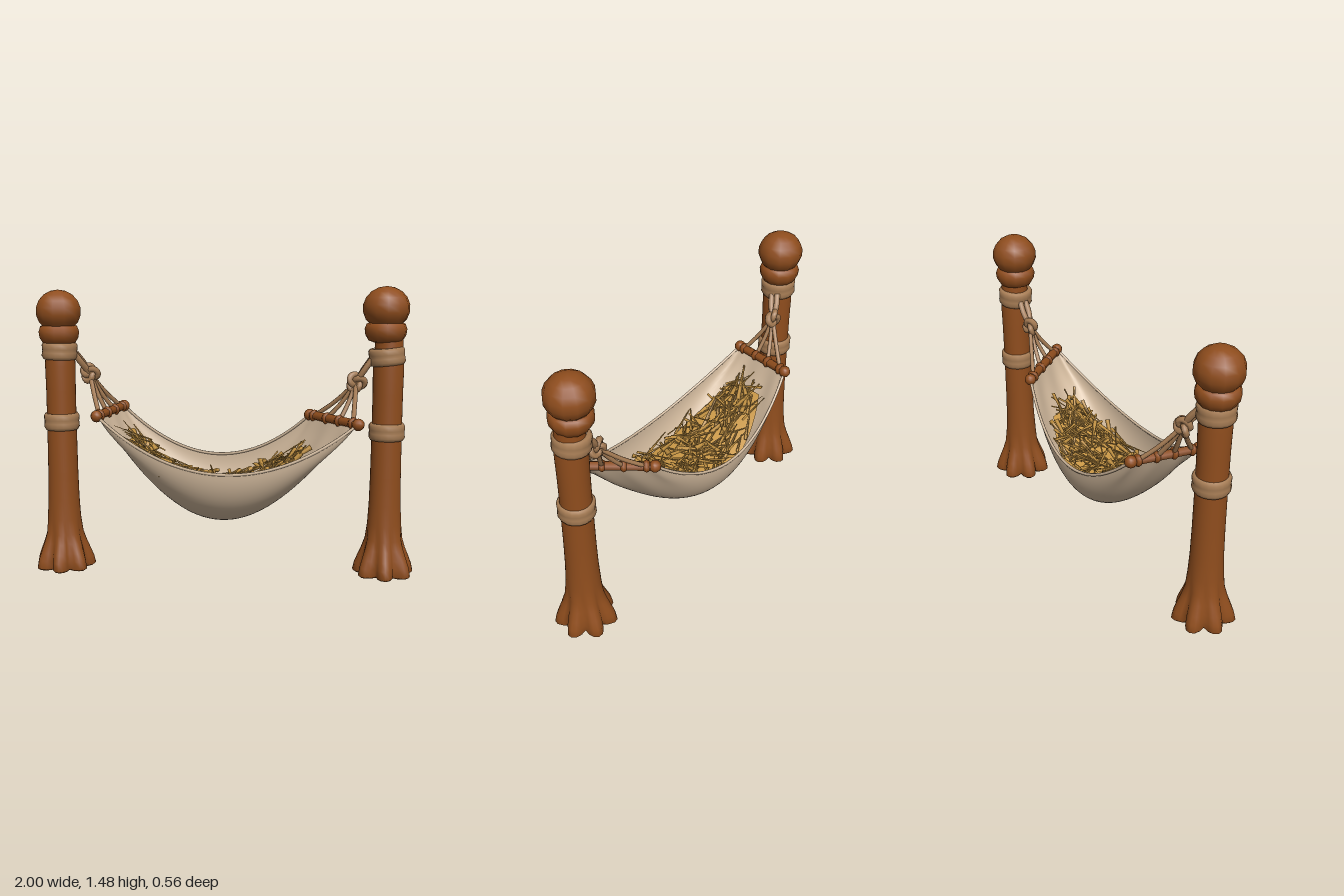
import * as THREE from 'three';
import { mergeGeometries, mergeVertices } from 'three/addons/utils/BufferGeometryUtils.js';

const V = (x, y, z) => new THREE.Vector3(x, y, z);
const lerp = THREE.MathUtils.lerp;
const mat = (name, color, side = THREE.FrontSide) => {
  const m = new THREE.MeshStandardMaterial({ color, side });
  m.name = name;
  return m;
};

export function createModel() {
  const wood = mat('wood', 0x8f4d1d);
  const rope = mat('rope', 0xa67c54);
  const cloth = mat('cloth', 0xceb69a, THREE.DoubleSide);
  const straw = mat('straw', 0xcb9947, THREE.DoubleSide);

  const model = new THREE.Group();
  model.name = 'hammock';
  const add = (parent, name, geometry, material, pos) => {
    const mesh = new THREE.Mesh(geometry, material);
    mesh.name = name;
    if (pos) mesh.position.copy(pos);
    parent.add(mesh);
    return mesh;
  };
  const lathe = (pts, seg) => new THREE.LatheGeometry(pts.map(p => new THREE.Vector2(...p)), seg);
  const tube = (pts, r, seg = 8) =>
    new THREE.TubeGeometry(new THREE.CatmullRomCurve3(pts), seg, r, 6);

  // Trunk whose foot spreads into seven rounded root lobes
  function trunkGeometry(top) {
    let g = lathe([[0, 0.03], [0.08, 0.02], [0.148, 0], [0.161, 0.01], [0.152, 0.05], [0.136, 0.09], [0.115, 0.14],
      [0.098, 0.19], [0.087, 0.27], [0.081, 0.38], [0.078, 0.52], [0.076, 0.75], [0.076, 0.95], [0.078, 1.08],
      [0.074, 1.14], [0.07, 1.2], [0.068, top]], 42);
    const p = g.attributes.position;
    for (let i = 0; i < p.count; i++) {
      const x = p.getX(i), y = p.getY(i), z = p.getZ(i);
      const k = Math.max(0, 1 - y / 0.26);
      const f = 1 - 0.38 * k * (1 - Math.abs(Math.cos(3.5 * Math.atan2(x, z))));
      p.setXYZ(i, x * f, y, z * f);
    }
    g.deleteAttribute('uv');
    g.deleteAttribute('normal');
    g = mergeVertices(g);
    g.computeVertexNormals();
    return g;
  }

  // Rounded two-turn rope wrap
  const bandGeometry = lathe([[0.066, -0.044], [0.084, -0.043], [0.092, -0.028], [0.091, -0.008], [0.089, 0],
    [0.091, 0.01], [0.092, 0.03], [0.084, 0.043], [0.066, 0.044]], 18);
  const collarGeometry = lathe([[0.06, -0.055], [0.085, -0.046], [0.102, -0.018], [0.106, 0.012],
    [0.097, 0.038], [0.07, 0.048]], 12);

  function post(name, x, topX, lift, lowBand, highBand, tilt) {
    const g = new THREE.Group();
    g.name = name;
    g.position.set(x, 0, -0.006);
    model.add(g);
    add(g, 'trunk', trunkGeometry(1.3), wood);
    add(g, 'collar', collarGeometry, wood, V(topX, 1.24 + lift, 0));
    add(g, 'ballTop', new THREE.SphereGeometry(0.118, 12, 9), wood, V(topX, 1.355 + lift, 0)).scale.y = 0.93;
    add(g, 'lowerWrap', bandGeometry, rope, V(0, lowBand, 0));
    add(g, 'upperWrap', bandGeometry, rope, V(topX / 2, highBand, 0)).rotation.z = tilt;
  }
  post('rightPost', -0.845, -0.003, 0, 0.785, 1.152, -0.03);
  post('leftPost', 0.84, -0.018, 0.02, 0.752, 1.135, 0.1);

  // Spreader bars with their collars, knots and fanned cords
  function rigging(name, front, back, knot, anchor) {
    const g = new THREE.Group();
    g.name = name;
    model.add(g);
    add(g, 'spreaderBar', tube([front, back], 0.024, 2), wood);
    for (const end of [front, back]) add(g, 'barKnob', new THREE.SphereGeometry(0.031, 10, 8), wood, end);
    const dir = back.clone().sub(front).normalize();
    for (const s of [0.1, 0.37, 0.63, 0.9]) {
      const p = front.clone().lerp(back, s);
      const mid = p.clone().lerp(knot, 0.5).add(V(0, -0.012, 0));
      add(g, 'cord', tube([p, mid, knot], 0.012), rope);
      const loop = add(g, 'barCollar', new THREE.TorusGeometry(0.016, 0.016, 6, 12), wood, p);
      loop.quaternion.setFromUnitVectors(V(0, 0, 1), dir);
    }
    add(g, 'knot', new THREE.TorusKnotGeometry(0.028, 0.017, 48, 6, 2, 3), rope, knot);
    for (const dz of [-0.016, 0.016]) {
      const a = anchor.clone().add(V(0, 0, dz));
      add(g, 'hangingRope', tube([a, a.clone().lerp(knot, 0.5).add(V(0, 0.004, dz / 2)), knot], 0.017), rope);
    }
  }
  const LF = V(-0.64, 0.825, 0.09), LB = V(-0.56, 0.835, -0.25);
  const RF = V(0.685, 0.81, 0.165), RB = V(0.45, 0.81, -0.16);
  rigging('rightRigging', LF, LB, V(-0.705, 1.03, -0.07), V(-0.775, 1.14, -0.03));
  rigging('leftRigging', RF, RB, V(0.68, 1.0, -0.01), V(0.755, 1.12, -0.005));

  // Sling: u runs between the bars, c from back (-1) to front (1), sink from rim (0) to belly (1)
  function sling(u, c, sink) {
    const t = 2 * u - 1, sag = 1 - t * t, w = (1 - c) / 2;
    const L = LF.clone().lerp(LB, w), R = RF.clone().lerp(RB, w);
    const zf = lerp(LF.z, RF.z, u) + 0.14 * sag, zb = lerp(LB.z, RB.z, u) - 0.066 * sag;
    const depth = 0.292 * sag ** 0.9;
    return V(lerp(L.x, R.x, u), lerp(L.y, R.y, u) - 0.25 * sag - depth * sink, lerp(zf, zb, w));
  }
  const clothPoint = (u, v) => {
    const a = v * Math.PI, t = Math.abs(2 * u - 1);
    const p = sling(u, Math.cos(a), Math.sin(a));
    p.y -= 0.024 * (1 - Math.cos(8 * a)) * t ** 6 * (1 - t ** 8); // gathers near the bars
    return p;
  };
  function sheet(fn, nu, nv) {
    const pos = [], idx = [];
    for (let i = 0; i <= nu; i++) for (let j = 0; j <= nv; j++) {
      pos.push(...fn(i / nu, j / nv).toArray());
      const a = i * (nv + 1) + j, b = a + nv + 1;
      if (i < nu && j < nv) idx.push(a, a + 1, b, b, a + 1, b + 1);
    }
    const g = new THREE.BufferGeometry();
    g.setAttribute('position', new THREE.Float32BufferAttribute(pos, 3));
    g.setIndex(idx);
    g.computeVertexNormals();
    return g;
  }
  add(model, 'sling', sheet(clothPoint, 40, 32), cloth);
  for (const v of [0, 1]) {
    const pts = Array.from({ length: 13 }, (_, i) => clothPoint(i / 12, v));
    add(model, v ? 'backHem' : 'frontHem', tube(pts, 0.008, 36), cloth);
  }

  // Domed straw bed with a rounded outline
  const bed = (u, c) => sling(u, c, 0.4 + 0.11 * c * c);
  const reach = u => 0.86 * Math.sqrt(Math.max(0, 1 - Math.abs((u - 0.47) / 0.43) ** 3));
  add(model, 'strawBed', sheet((s, v) => {
    const u = lerp(0.1, 0.84, s);
    return bed(u, (1 - 2 * v) * reach(u) * 0.88);
  }, 20, 10), straw);

  // Loose flat blades, kept inside the cloth
  let seed = 7;
  const rnd = () => (seed = (seed * 16807) % 2147483647) / 2147483647;
  const blades = [];
  for (let i = 0; i < 260; i++) {
    const u = lerp(0.11, 0.84, rnd());
    const yaw = (rnd() - 0.5) * Math.PI * (rnd() < 0.6 ? 0.6 : 1.3);
    const len = lerp(0.1, 0.23, rnd()), wide = lerp(0.007, 0.018, rnd() ** 2);
    const half = (sling(u, 1, 0).z - sling(u, -1, 0).z) / 2;
    const c = (2 * rnd() - 1) * Math.max(0, reach(u) - Math.abs(Math.sin(yaw)) * len / 2 / half);
    const p = bed(u, c), ahead = bed(u + 0.02, c).sub(p);
    const slope = Math.atan2(ahead.y, ahead.x) * Math.cos(yaw);
    const g = new THREE.CylinderGeometry(0.3, 1, 1, 4);
    g.scale(wide, len, 0.004);
    g.rotateX(-Math.PI / 2).rotateY(Math.PI / 2); // lay the blade along x
    g.rotateX(Math.PI / 2 * Math.round(rnd() * 0.65) + (rnd() - 0.5) * 0.9);
    g.rotateZ(slope + lerp(-0.15, 0.35, rnd())).rotateY(yaw);
    g.translate(p.x, p.y + 0.01 + rnd() * 0.035, p.z);
    blades.push(g);
  }
  add(model, 'strawBlades', mergeGeometries(blades), straw);

  return model;
}
